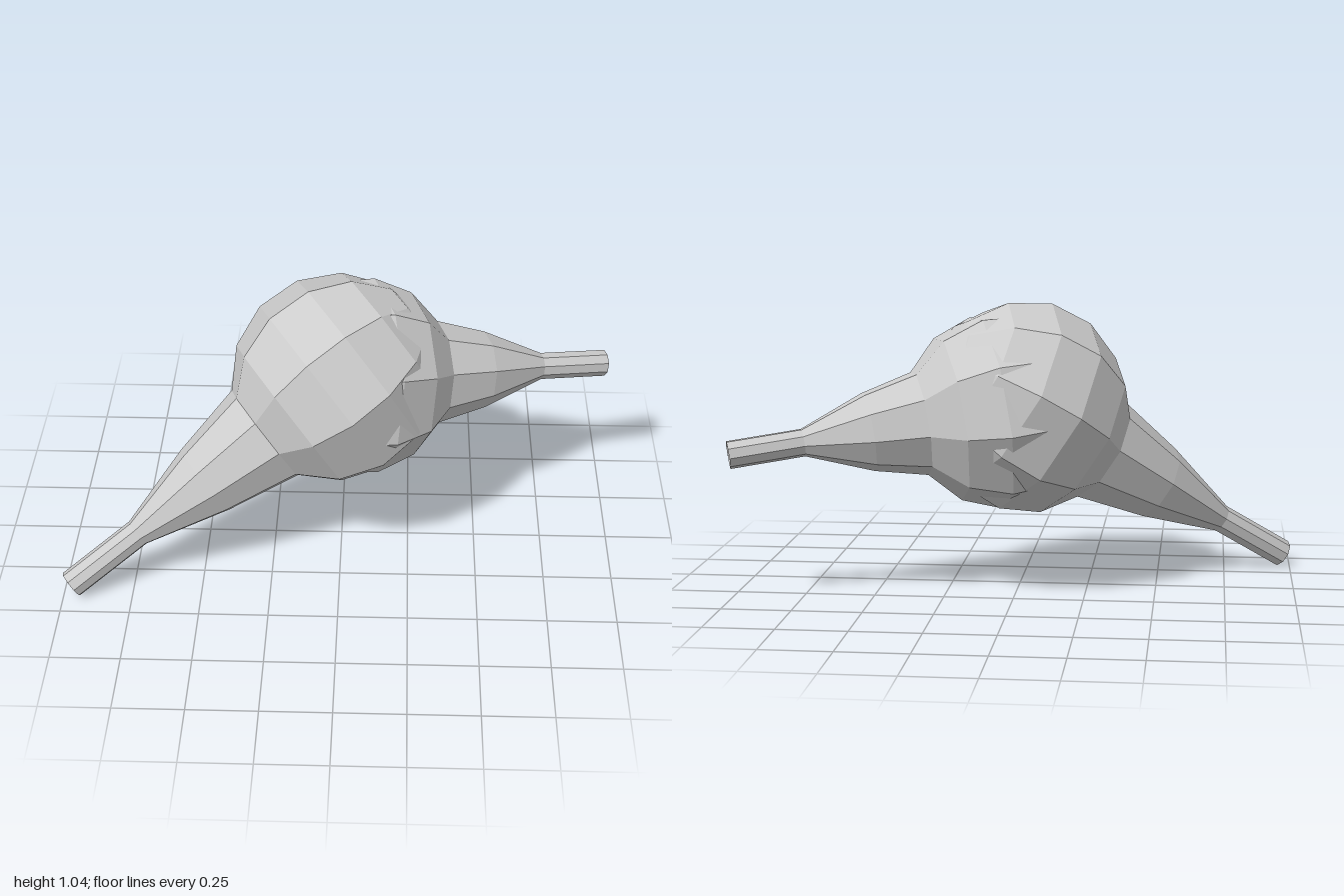
import * as THREE from 'three';

const SIDES = 9;
const material = new THREE.MeshStandardMaterial({
  color: 0xcccccc, flatShading: true, side: THREE.DoubleSide,
});

// Lathe a profile of [radius, distance from tip] and aim it from tip to centre
function lathe(name, points, tip, centre, spin) {
  const geometry = new THREE.LatheGeometry(
    points.map(([r, d]) => new THREE.Vector2(r, d)), SIDES);
  const mesh = new THREE.Mesh(geometry, material);
  const axis = centre.clone().sub(tip).normalize();
  mesh.name = name;
  mesh.position.copy(tip);
  mesh.quaternion.setFromUnitVectors(new THREE.Vector3(0, 1, 0), axis);
  mesh.rotateY(spin);
  return mesh;
}

// One bulb: round head, flaring neck and thin open-ended stem
function bulb(name, tip, centre, radius, neck, spin) {
  const group = new THREE.Group();
  group.name = name;
  const length = tip.distanceTo(centre);
  const start = Math.asin(neck[neck.length - 1][0] / radius);
  const join = length - radius * Math.cos(start);
  const rings = 6;
  const head = [];
  for (let i = 0; i <= rings; i++) {
    const a = start + (Math.PI - start) * i / rings;
    head.push([i === rings ? 0 : radius * Math.sin(a), length - radius * Math.cos(a)]);
  }
  const stem = neck.map(([r, d]) => [r, d]);
  stem[stem.length - 1][1] = join;
  group.add(lathe('stem', stem, tip, centre, spin));
  group.add(lathe('head', head, tip, centre, spin));
  return group;
}

export function createModel() {
  const model = new THREE.Group();
  model.name = 'crossedBulbs';
  // Lower bulb, stem reaching down to the right front
  model.add(bulb('rightBulb',
    new THREE.Vector3(-0.97, 0.045, 0.40), new THREE.Vector3(-0.02, 0.665, -0.05), 0.385,
    [[0.052, 0], [0.052, 0.305], [0.143, 0.615], [0.2, 0.88]], 0.2));
  // Upper bulb, stem reaching out to the left back
  model.add(bulb('leftBulb',
    new THREE.Vector3(0.985, 0.53, -0.40), new THREE.Vector3(0.05, 0.66, -0.08), 0.362,
    [[0.05, 0], [0.05, 0.265], [0.143, 0.5], [0.19, 0.7]], 0.1));
  return model;
}
